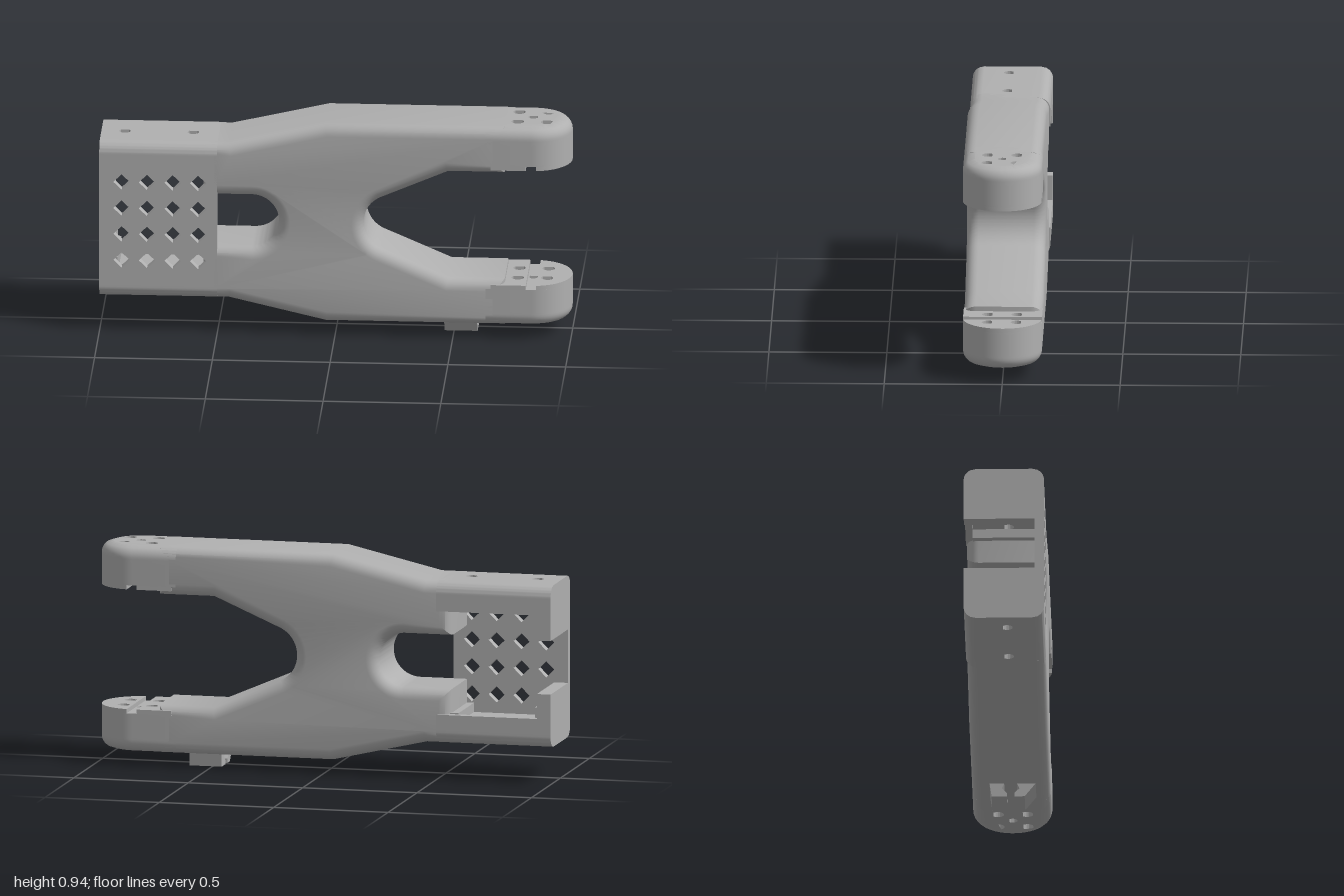
import * as THREE from 'three';
import { toCreasedNormals } from 'three/addons/utils/BufferGeometryUtils.js';

const MID = 0.5025;   // height of the mirror plane between upper and lower halves
const ROUND = 0.05;   // edge rounding
const TIP = 0.8325;   // centre of the round arm ends
const flip = (y, side) => (side > 0 ? y : 2 * MID - y);

const polygon = (pts) => new THREE.Shape(pts.map(([x, y]) => new THREE.Vector2(x, y)));
const rect = (x0, y0, x1, y1) => polygon([[x0, y0], [x1, y0], [x1, y1], [x0, y1]]);

// Screw hole: a circle with a point towards the back
function teardrop(x, z, r) {
  const p = new THREE.Path();
  p.moveTo(x, z - r * 1.41);
  p.absarc(x, z, r, -Math.PI / 4, Math.PI * 1.25, false);
  p.closePath();
  return p;
}

export function createModel() {
  const group = new THREE.Group();
  const grey = new THREE.MeshStandardMaterial({ color: 0xb0b0b0 });
  grey.name = 'grey';

  const add = (name, geometry) => {
    const mesh = new THREE.Mesh(geometry, grey);
    mesh.name = name;
    group.add(mesh);
    return mesh;
  };
  const box = (name, x0, x1, ya, yb, z0, z1) => {
    const g = new THREE.BoxGeometry(x1 - x0, Math.abs(yb - ya), z1 - z0);
    add(name, g.translate((x0 + x1) / 2, (ya + yb) / 2, (z0 + z1) / 2));
  };

  // Horizontal slab from a plan shape (x, z); the outer face gets rounded edges
  const slab = (name, shape, ya, yb, outer, zShift = 0) => {
    const top = Math.max(ya, yb);
    const h = Math.abs(yb - ya);
    const g = new THREE.ExtrudeGeometry(shape, {
      depth: h, steps: outer ? 18 : 1, bevelEnabled: false, curveSegments: 20,
    });
    g.rotateX(Math.PI / 2).translate(0, top, 0);
    const p = g.attributes.position;
    for (let i = 0; outer && i < p.count; i++) {
      const x = p.getX(i), y = p.getY(i), z = p.getZ(i);
      const t = outer > 0 ? top - y : y - (top - h);
      if (t >= ROUND) continue;
      const inset = ROUND - Math.sqrt(Math.max(0, ROUND ** 2 - (ROUND - t) ** 2));
      const dx = Math.max(0, x - TIP);
      const d = Math.hypot(dx, z);
      if (d < 0.15) continue; // hole walls stay straight
      const k = (d - inset) / d;
      p.setXYZ(i, dx > 0 ? TIP + dx * k : x, y, z * k);
    }
    add(name, toCreasedNormals(g.translate(0, 0, zShift), 0.6));
  };

  // Forked body with rounded edges
  const outline = polygon([[-0.56, 0.155], [-0.45, 0.155], [-0.04, 0.06], [0.72, 0.06],
    [0.72, 0.265], [0.48, 0.265]]);
  const deg = Math.PI / 180;
  outline.absarc(0.245, MID, 0.125, 245 * deg, 115 * deg, true);
  [[0.48, 0.74], [0.72, 0.74], [0.72, 0.945], [-0.04, 0.945], [-0.45, 0.85], [-0.56, 0.85],
    [-0.56, MID + 0.115]].forEach(([x, y]) => outline.lineTo(x, y));
  outline.absarc(-0.355, MID, 0.115, 90 * deg, -90 * deg, true);
  outline.lineTo(-0.56, MID - 0.115);
  const body = new THREE.ExtrudeGeometry(outline, {
    depth: 0.335 - 2 * ROUND, bevelEnabled: true, bevelThickness: ROUND, bevelSize: ROUND,
    bevelOffset: -ROUND, bevelSegments: 6, curveSegments: 24,
  });
  add('forkedBody', toCreasedNormals(body.translate(0, 0, -0.165 + ROUND), 0.6));

  // Front plate with a grid of diamond holes
  const plate = rect(-1, 0.245, -0.5, 0.76);
  for (const x of [-0.905, -0.797, -0.688, -0.58]) {
    for (const y of [0.325, 0.442, 0.558, 0.675]) {
      const r = 0.035;
      plate.holes.push(polygon([[x - r, y], [x, y - r], [x + r, y], [x, y + r]]));
    }
  }
  add('perforatedPlate', new THREE.ExtrudeGeometry(plate, { depth: 0.04, bevelEnabled: false })
    .translate(0, 0, 0.13));

  for (const side of [1, -1]) {
    const word = side > 0 ? 'upper' : 'lower';
    const Y = (y) => flip(y, side);

    // Housing wall, slotted end wall and inner ledges
    const wall = rect(-1, -0.17, -0.5, 0.17);
    for (const x of [-0.9, -0.61]) wall.holes.push(teardrop(x, 0.012, 0.024));
    slab(word + 'HousingWall', wall, Y(0.76), Y(0.85), side);
    box(word + 'EndWall', -1, -0.94, Y(MID + 0.115), Y(0.76), -0.17, 0.13);
    box(word + 'BackLip', -0.94, -0.5, Y(0.725), Y(0.76), -0.17, -0.14);
    box(word + 'EndLedge', -0.94, -0.925, Y(0.68), Y(0.76), -0.14, 0.13);
    box(word + 'InnerLedge', -0.59, -0.55, Y(0.72), Y(0.76), -0.14, 0.13);

    // Round arm end with screw holes
    const holes = [teardrop(TIP, 0, 0.02)];
    for (const x of [-0.062, 0.062]) {
      for (const z of [-0.062, 0.062]) holes.push(teardrop(TIP + x, z, 0.026));
    }
    const R = 0.1675;
    const tip = polygon([[0.64, -R], [TIP, -R]]);
    tip.absarc(TIP, 0, R, -Math.PI / 2, Math.PI / 2, false);
    tip.lineTo(0.64, R);
    tip.holes.push(...holes);
    slab(word + 'ArmEnd', tip, Y(0.778), Y(0.945), side, 0.0025);

    // Gripping pad in two halves, with a groove between them
    const a = Math.acos(0.022 / R);
    const outerPad = new THREE.Shape();
    outerPad.absarc(TIP, 0, R, -a, a, false);
    outerPad.holes.push(...holes.slice(3));
    const innerPad = rect(0.66, -R, TIP - 0.022, R);
    innerPad.holes.push(...holes.slice(1, 3));
    slab(word + 'OuterPad', outerPad, Y(0.76), Y(0.778), 0, 0.0025);
    slab(word + 'InnerPad', innerPad, Y(0.76), Y(0.778), 0, 0.0025);
  }

  // Cable clip: two hooks under the lower arm
  const hooks = [
    [[0.115, 0.07], [0.06, 0], [0.018, 0], [0.018, 0.018], [0.038, 0.038], [0.022, 0.07]],
    [[-0.09, 0.07], [-0.08, 0], [-0.015, 0], [-0.015, 0.015], [-0.037, 0.038], [-0.022, 0.07]],
  ];
  hooks.forEach((pts, i) => {
    const g = new THREE.ExtrudeGeometry(polygon(pts.map(([z, y]) => [-z, y])),
      { depth: 0.14, bevelEnabled: false });
    add(i ? 'backClipHook' : 'frontClipHook', g.rotateY(Math.PI / 2).translate(0.46, 0, 0));
  });

  return group;
}
